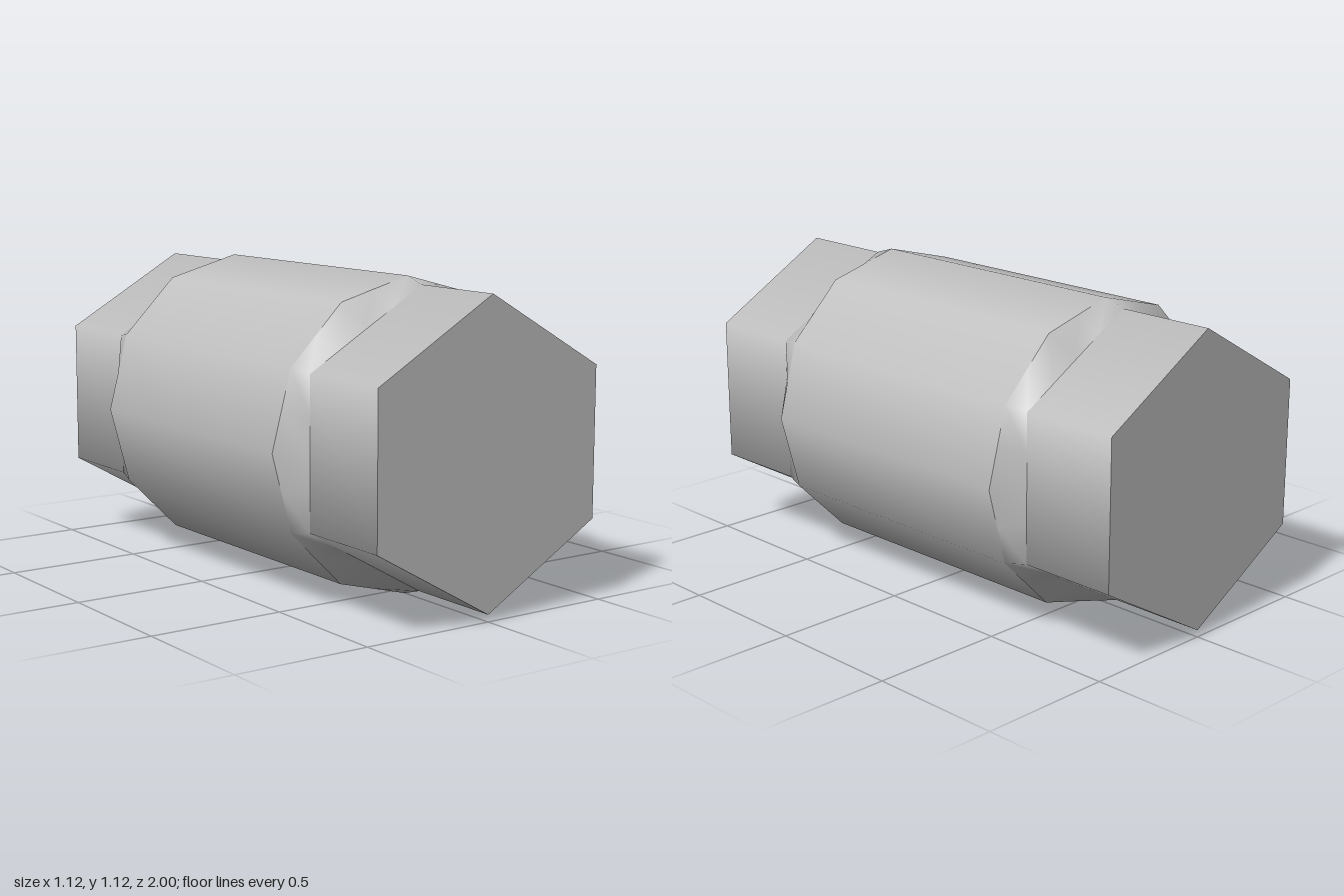
import * as THREE from 'three';

const CENTER_Y = 0.56;
const BODY_R = 0.56, HEX_R = 0.535;
const BODY_Z = 0.55, HEX_Z = 0.63, END_Z = 1;

// Distance from the centre to the rim of an n-sided polygon with a corner at angle 0
function rimRadius(n, radius, angle) {
  const step = (Math.PI * 2) / n;
  const local = (angle % step) - step / 2;
  return (radius * Math.cos(step / 2)) / Math.cos(local);
}

// Skin between the twelve-sided body rim and the six-sided end rim
function shoulderGeometry(steps = 24) {
  const positions = [], index = [];
  for (const [n, radius, z] of [[12, BODY_R, BODY_Z], [6, HEX_R, HEX_Z]]) {
    for (let i = 0; i < steps; i++) {
      const a = (i / steps) * Math.PI * 2;
      const r = rimRadius(n, radius, a + 1e-7);
      positions.push(r * Math.sin(a), r * Math.cos(a), z);
    }
  }
  for (let i = 0; i < steps; i++) {
    const j = (i + 1) % steps;
    index.push(i, steps + i, j, j, steps + i, steps + j);
  }
  const geometry = new THREE.BufferGeometry();
  geometry.setAttribute('position', new THREE.Float32BufferAttribute(positions, 3));
  geometry.setIndex(index);
  geometry.computeVertexNormals();
  return geometry;
}

export function createModel() {
  const model = new THREE.Group();
  model.name = 'hexEndedBarrel';
  const grey = new THREE.MeshStandardMaterial({ color: 0xc0c0c0 });
  grey.name = 'grey';

  function add(name, geometry, turn = 0) {
    const mesh = new THREE.Mesh(geometry, grey);
    mesh.name = name;
    mesh.position.y = CENTER_Y;
    mesh.rotation.y = turn;
    model.add(mesh);
  }

  // Twelve-sided barrel along z
  add('barrel', new THREE.CylinderGeometry(BODY_R, BODY_R, BODY_Z * 2, 12, 1, true).rotateX(Math.PI / 2));

  // Shoulder and hexagonal stub at each end
  const shoulder = shoulderGeometry();
  const stub = new THREE.CylinderGeometry(HEX_R, HEX_R, END_Z - HEX_Z, 6)
    .rotateX(Math.PI / 2)
    .translate(0, 0, (END_Z + HEX_Z) / 2);
  for (const [side, turn] of [['front', 0], ['back', Math.PI]]) {
    add(side + 'Shoulder', shoulder, turn);
    add(side + 'HexStub', stub, turn);
  }
  return model;
}
